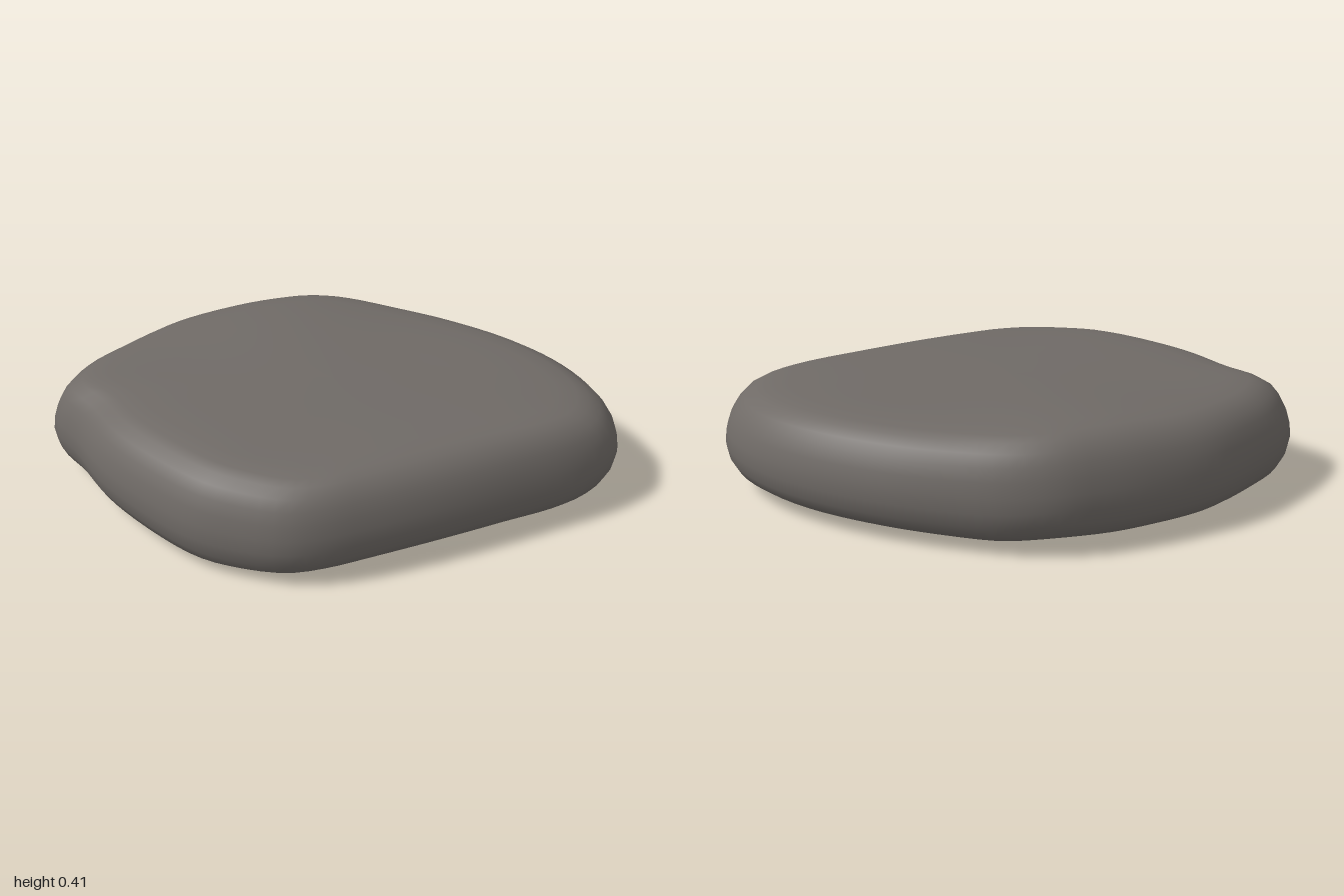
import * as THREE from 'three';

// Plan outline of the stone at its widest, as [x, z]
const OUTLINE = [
  [-1, -0.04], [-0.95, -0.2], [-0.83, -0.35], [-0.66, -0.51], [-0.42, -0.63], [-0.24, -0.69],
  [-0.1, -0.72], [0.06, -0.71], [0.23, -0.66], [0.47, -0.56], [0.72, -0.4], [0.88, -0.24],
  [0.97, -0.09], [1, 0.02], [0.97, 0.19], [0.87, 0.29], [0.63, 0.42], [0.34, 0.56],
  [0.12, 0.65], [-0.03, 0.7], [-0.16, 0.715], [-0.34, 0.67], [-0.47, 0.61], [-0.66, 0.45],
  [-0.8, 0.29], [-0.9, 0.12],
];
// Rounded rim, bottom to top: [inset from outline, height fraction]
const RIM = [
  [0.17, 0], [0.11, 0.015], [0.065, 0.05], [0.03, 0.12], [0.01, 0.22], [0, 0.36], [0.006, 0.5],
  [0.02, 0.64], [0.042, 0.76], [0.07, 0.86], [0.11, 0.93], [0.15, 0.965], [0.22, 0.99],
];
const FLAT = [0, 0.2, 0.4, 0.6, 0.8]; // fractions across the flat faces

const bump = (x, z, cx, cz, r) => Math.exp(-((x - cx) ** 2 + (z - cz) ** 2) / (r * r));

// Gently uneven upper and lower faces
const topY = (x, z) => 0.385 + 0.032 * bump(x, z, -0.2, -0.6, 0.4)
  - 0.02 * bump(x, z, 0.95, 0, 0.3) - 0.01 * bump(x, z, -0.1, 0.7, 0.25)
  + 0.004 * Math.sin(5 * x + 2) * Math.cos(4 * z);
const bottomY = (x, z) => 0.03 - 0.029 * bump(x, z, -0.35, 0.55, 0.35)
  - 0.01 * bump(x, z, 0, -0.5, 0.3) + 0.035 * bump(x, z, 1, 0.15, 0.15)
  + 0.015 * bump(x, z, -0.1, -0.72, 0.15);

function stoneGeometry(segments = 96) {
  const curve = new THREE.CatmullRomCurve3(
    OUTLINE.map(([x, z]) => new THREE.Vector3(x, 0, z)), true);
  const outline = curve.getSpacedPoints(segments).slice(0, segments);
  const first = RIM[0], last = RIM[RIM.length - 1];
  const rings = [
    ...FLAT.map((f) => [first[0], 0, f]),
    ...RIM.map(([inset, v]) => [inset, v, 1]),
    ...[...FLAT].reverse().map((f) => [last[0], 1, f]),
  ];
  const positions = [], index = [];
  rings.forEach(([inset, v, f], i) => {
    outline.forEach((p, j) => {
      const tight = v > 0.5 ? 0.78 + 0.25 * Math.abs(p.x) : 1; // steeper front and back
      const k = f * (1 - inset * tight / p.length());
      const x = p.x * k, z = p.z * k;
      positions.push(x, THREE.MathUtils.lerp(bottomY(x, z), topY(x, z), v), z);
      if (i === rings.length - 1) return;
      const a = i * segments + j, b = i * segments + (j + 1) % segments;
      const c = a + segments, d = b + segments;
      if (i > 0) index.push(a, c, b);
      else index.push(a, c, d);
      if (i > 0 && i < rings.length - 2) index.push(b, c, d);
    });
  });
  const geometry = new THREE.BufferGeometry();
  geometry.setAttribute('position', new THREE.Float32BufferAttribute(positions, 3));
  geometry.setIndex(index);
  geometry.computeVertexNormals();
  return geometry;
}

export function createModel() {
  const group = new THREE.Group();
  group.name = 'flatStone';
  const stone = new THREE.Mesh(
    stoneGeometry(), new THREE.MeshStandardMaterial({ color: 0x6f6a66 }));
  stone.name = 'stone';
  group.add(stone);
  return group;
}
